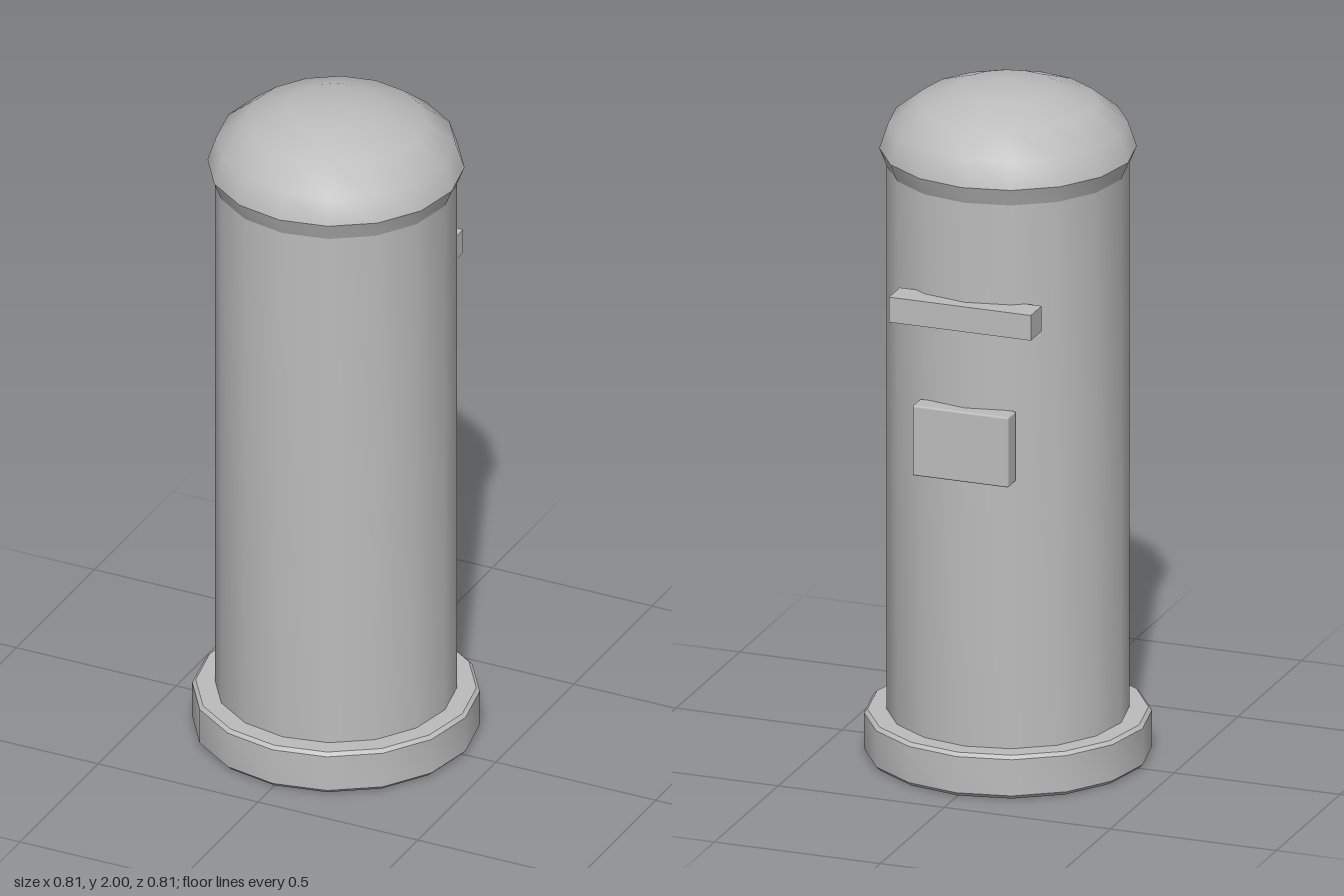
import * as THREE from 'three';
import { toCreasedNormals } from 'three/addons/utils/BufferGeometryUtils.js';
import { RoundedBoxGeometry } from 'three/addons/geometries/RoundedBoxGeometry.js';

const SIDES = 16;

export function createModel() {
  const group = new THREE.Group();
  const grey = new THREE.MeshStandardMaterial({ color: 0xbcbcbc });
  grey.name = 'plain grey';

  const add = (name, geometry, y = 0, z = 0) => {
    const mesh = new THREE.Mesh(geometry, grey);
    mesh.name = name;
    mesh.position.set(0, y, z);
    group.add(mesh);
  };

  // Sixteen-sided turned part from [radius, height] pairs, bottom to top
  const turned = (name, profile) => {
    const points = profile.map(([r, y]) => new THREE.Vector2(r, y));
    add(name, toCreasedNormals(new THREE.LatheGeometry(points, SIDES), 0.7));
  };

  // Plinth with softened rims
  turned('base', [
    [0, 0], [0.393, 0], [0.405, 0.012], [0.405, 0.12], [0.395, 0.13], [0, 0.13],
  ]);

  // Pillar
  turned('body', [[0.341, 0.12], [0.341, 1.76]]);

  // Flared collar and domed cap
  turned('capRim', [[0.338, 1.745], [0.362, 1.805]]);
  turned('capDome', [
    [0.362, 1.805], [0.337, 1.88], [0.255, 1.945], [0.14, 1.986], [0, 2],
  ]);

  // Slot hood and notice plate on the back
  add('slotHood', new THREE.BoxGeometry(0.427, 0.075, 0.085), 1.418, -0.3345);
  add('noticePlate', new RoundedBoxGeometry(0.29, 0.21, 0.063, 1, 0.006), 1.035, -0.3435);

  return group;
}
